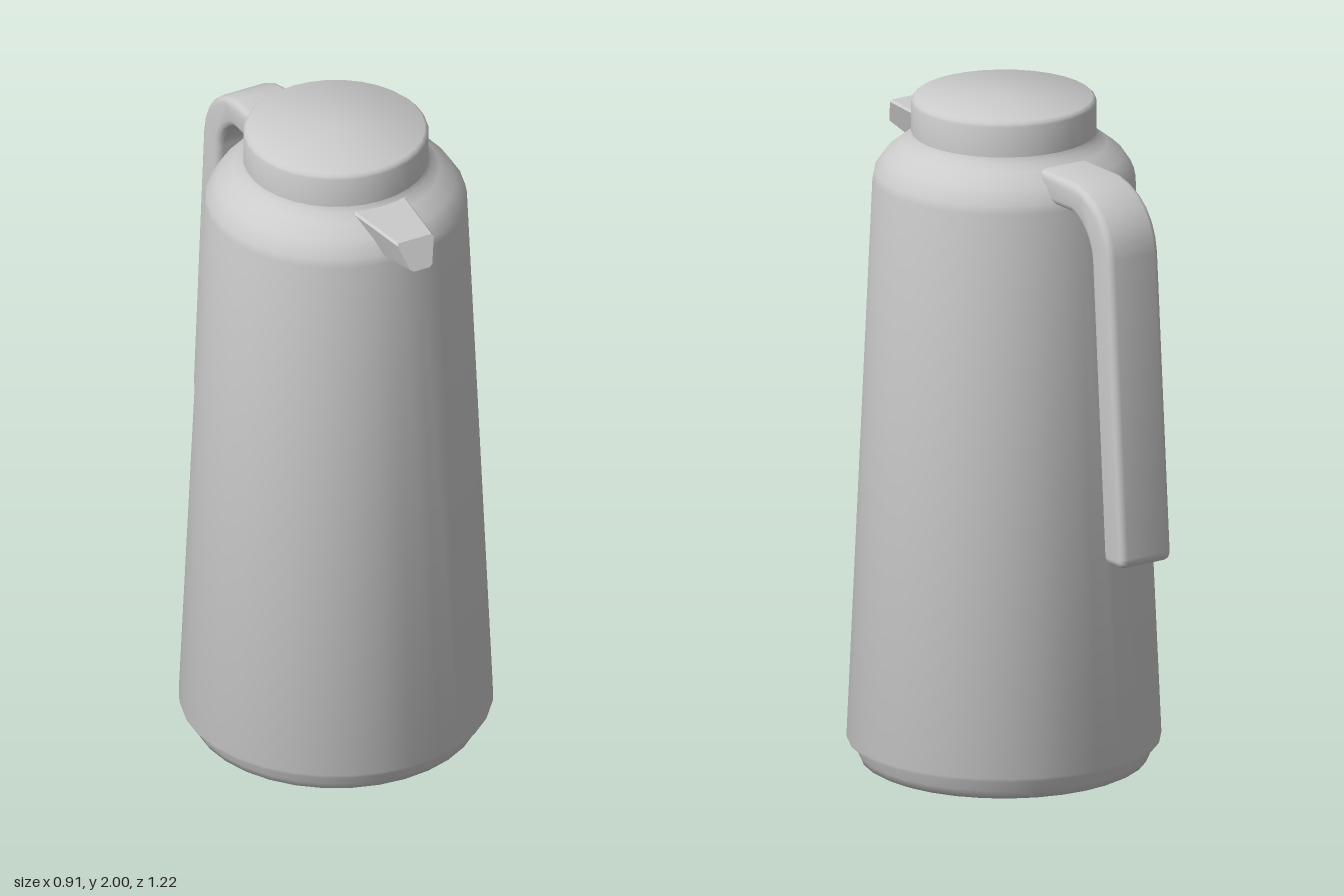
import * as THREE from 'three';
import { toCreasedNormals } from 'three/addons/utils/BufferGeometryUtils.js';
import { ConvexGeometry } from 'three/addons/geometries/ConvexGeometry.js';

const BODY_Z = 0.095;
const material = new THREE.MeshStandardMaterial({ color: 0xcccccc, side: THREE.DoubleSide });

function addPart(group, name, geometry, crease = 0.7) {
  const mesh = new THREE.Mesh(toCreasedNormals(geometry, crease), material);
  mesh.name = name;
  group.add(mesh);
}

// Round part about the vertical axis of the jug, from [radius, height] pairs
function turned(profile) {
  const points = profile.map(([r, y]) => new THREE.Vector2(r, y));
  return new THREE.LatheGeometry(points, 32).translate(0, 0, BODY_Z);
}

// Flat side profile [z, y] pulled across x, with rounded edges
function handleGeometry(width, bevel) {
  const s = new THREE.Shape();
  s.moveTo(-0.2, 1.865);
  s.lineTo(-0.365, 1.862);
  s.bezierCurveTo(-0.47, 1.845, -0.54, 1.77, -0.548, 1.67);
  s.lineTo(-0.61, 0.785);
  s.quadraticCurveTo(-0.61, 0.757, -0.585, 0.755);
  s.lineTo(-0.535, 0.755);
  s.quadraticCurveTo(-0.512, 0.757, -0.512, 0.785);
  s.lineTo(-0.452, 1.655);
  s.bezierCurveTo(-0.448, 1.71, -0.4, 1.765, -0.355, 1.775);
  s.lineTo(-0.2, 1.775);
  s.closePath();
  return new THREE.ExtrudeGeometry(s, {
    depth: width - 2 * bevel, bevelThickness: bevel, bevelSize: bevel,
    bevelOffset: -bevel, bevelSegments: 3, curveSegments: 6,
  }).translate(0, 0, bevel - width / 2).rotateY(-Math.PI / 2);
}

// Tapered spout: two trapezoid sections with their corners trimmed
function spoutGeometry() {
  const section = (topW, topY, topZ, lowW, lowY, lowZ) => {
    const corners = [[topW, topY, topZ], [-topW, topY, topZ], [-lowW, lowY, lowZ], [lowW, lowY, lowZ]]
      .map((c) => new THREE.Vector3(...c));
    const trim = 0.008;
    return corners.flatMap((c, i) => [corners[(i + 3) % 4], corners[(i + 1) % 4]]
      .map((n) => c.clone().add(n.clone().sub(c).setLength(trim))));
  };
  return new ConvexGeometry([
    ...section(0.09, 1.88, 0.345, 0.05, 1.75, 0.345),
    ...section(0.062, 1.88, 0.57, 0.034, 1.797, 0.61),
  ]);
}

export function createModel() {
  const group = new THREE.Group();
  group.name = 'jug';

  // Foot, set in slightly under the body
  addPart(group, 'foot', turned([[0, 0], [0.4, 0], [0.415, 0.008], [0.425, 0.03], [0.437, 0.068]]));

  // Tapered body with a rounded shoulder
  addPart(group, 'body', turned([
    [0.4, 0.066], [0.452, 0.066], [0.455, 0.075], [0.38, 1.755], [0.375, 1.78],
    [0.345, 1.825], [0.3, 1.86], [0.275, 1.88], [0.268, 1.895],
  ]));

  // Neck and flat lid
  addPart(group, 'lid', turned([[0.268, 1.885], [0.268, 1.985], [0.265, 1.993], [0.257, 2], [0, 2]]), 1);

  addPart(group, 'spout', spoutGeometry(), 0.6);
  addPart(group, 'handle', handleGeometry(0.178, 0.02));
  return group;
}
